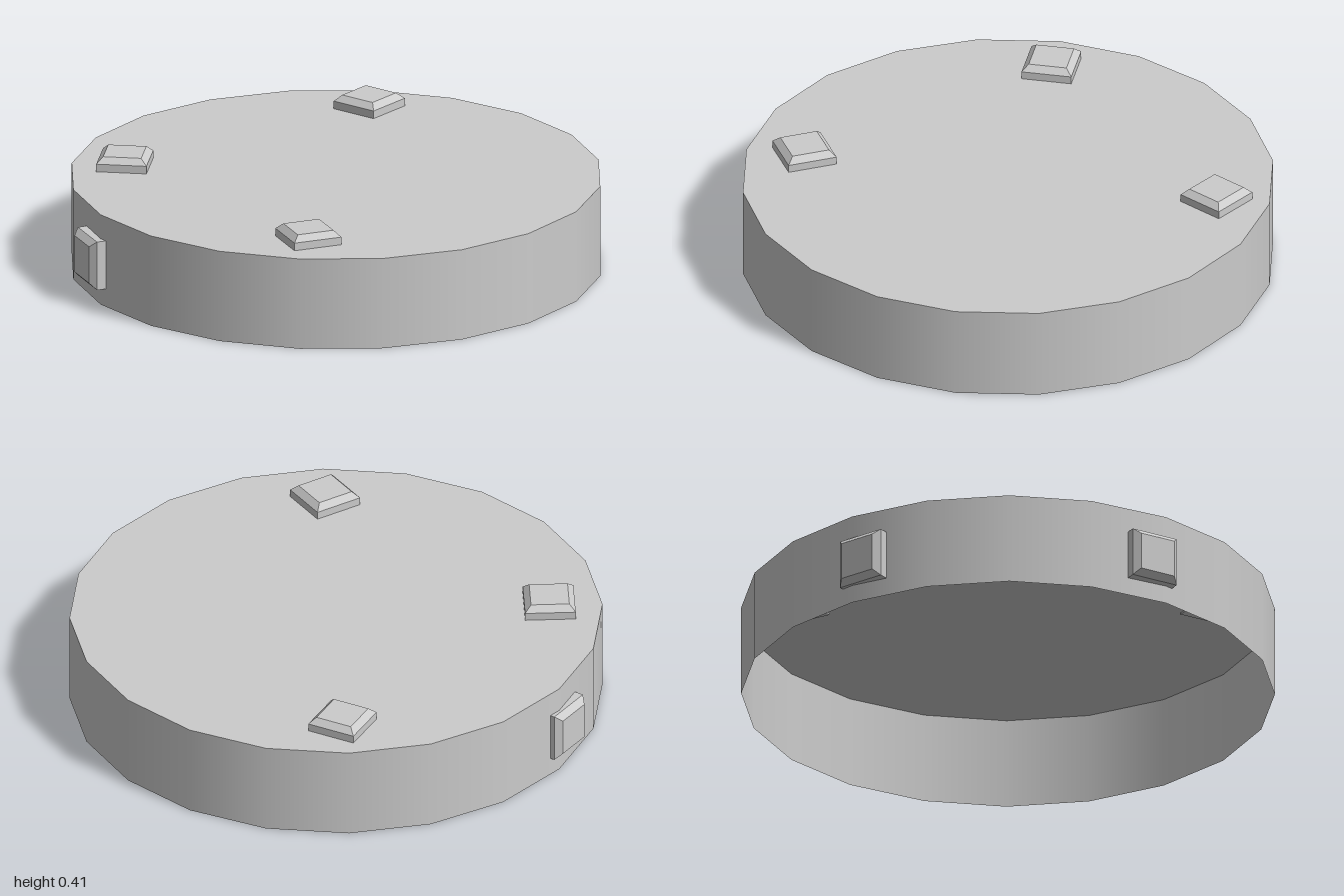
import * as THREE from 'three';

const H = 0.355, SIDES = 20;

export function createModel() {
  const model = new THREE.Group();
  const shell = new THREE.MeshStandardMaterial({ color: 0xcccccc, side: THREE.DoubleSide });
  const facet = new THREE.MeshStandardMaterial({ color: 0xcccccc, flatShading: true });

  // hollow drum: smooth wall and flat lid, open underneath
  const wall = new THREE.Mesh(new THREE.CylinderGeometry(1, 1, H, SIDES, 1, true), shell);
  wall.name = 'drumWall';
  wall.position.y = H / 2;
  const lid = new THREE.Mesh(new THREE.CircleGeometry(1, SIDES), shell);
  lid.name = 'drumLid';
  lid.rotation.x = -Math.PI / 2;
  lid.position.y = H;
  model.add(wall, lid);

  // square stud with a bevelled top, standing on its local y = 0
  const half = 0.095, inset = 0.023, d = Math.SQRT2;
  const profile = [[0, 0], [half * d, 0], [half * d, 0.037], [(half - inset) * d, 0.06], [0, 0.06]]
    .map(([r, y]) => new THREE.Vector2(r, y));
  const studGeo = new THREE.LatheGeometry(profile, 4, Math.PI / 4);

  function addStud(name, x, y, z, turn, tilt = 0) {
    const stud = new THREE.Mesh(studGeo, facet);
    stud.name = name;
    stud.position.set(x, y, z);
    stud.rotation.set(0, THREE.MathUtils.degToRad(turn), tilt);
    model.add(stud);
  }

  // studs on the lid, sunk slightly into it
  addStud('lidStudRight', -0.8, H - 0.007, -0.005, 0);
  addStud('lidStudBack', 0.015, H - 0.007, -0.8, -30);
  addStud('lidStudFront', 0.003, H - 0.007, 0.777, 30);

  // studs on the wall, pointing outwards
  addStud('wallStudFront', -0.833, 0.165, 0.527, 30, Math.PI / 2);
  addStud('wallStudBack', -0.816, 0.165, -0.535, -37, Math.PI / 2);

  return model;
}
